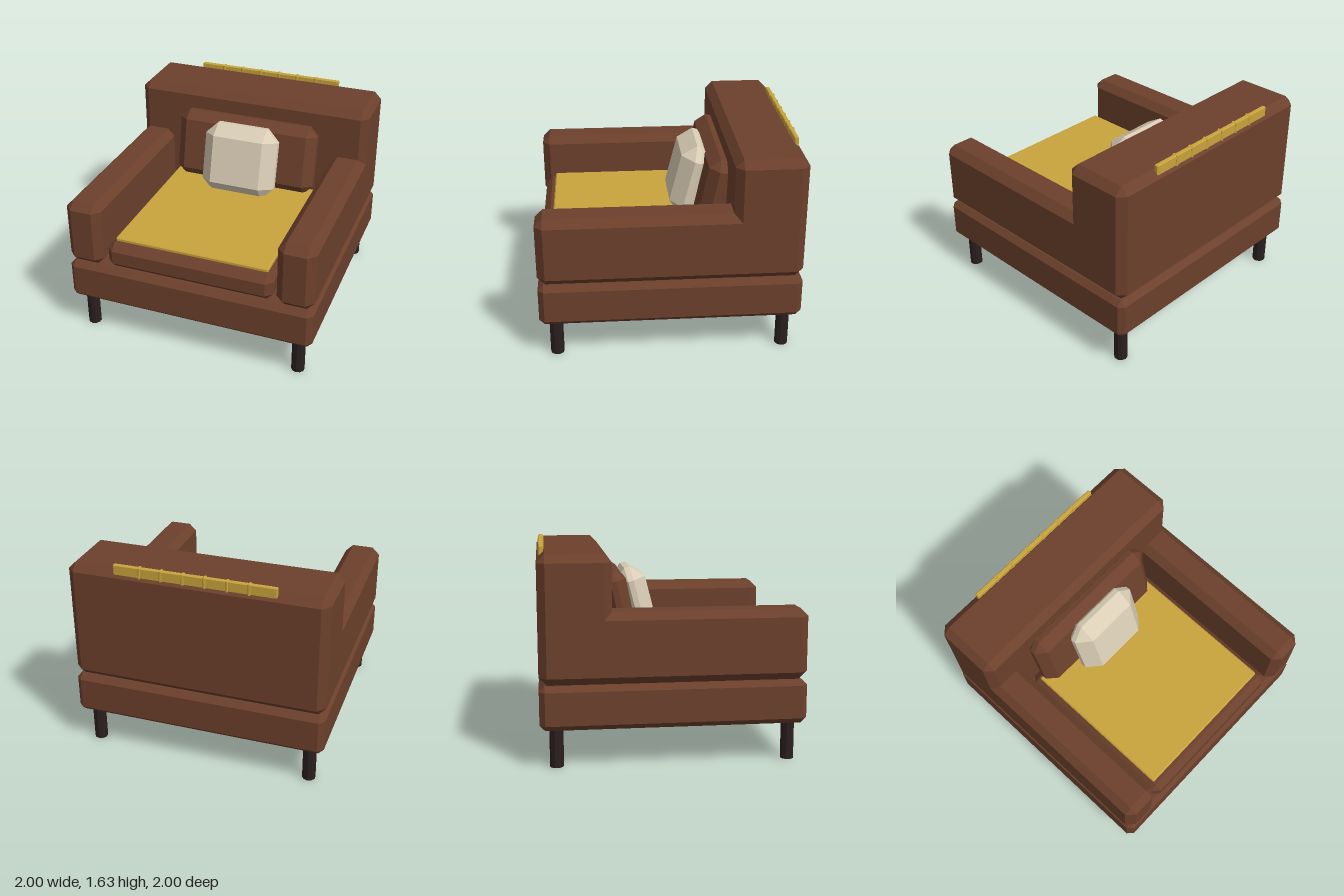
import * as THREE from 'three';
import { ConvexGeometry } from 'three/addons/geometries/ConvexGeometry.js';

const mat = (name, color) => {
  const m = new THREE.MeshStandardMaterial({ color });
  m.name = name;
  return m;
};

// box with every edge cut at 45 degrees by c
function chamferBox(w, h, d, c) {
  const pts = [];
  for (const sx of [-1, 1]) for (const sy of [-1, 1]) for (const sz of [-1, 1]) {
    const x = w / 2, y = h / 2, z = d / 2;
    pts.push(
      new THREE.Vector3(sx * x, sy * (y - c), sz * (z - c)),
      new THREE.Vector3(sx * (x - c), sy * y, sz * (z - c)),
      new THREE.Vector3(sx * (x - c), sy * (y - c), sz * z));
  }
  return new ConvexGeometry(pts);
}

export function createModel() {
  const group = new THREE.Group();
  const brown = mat('brown leather', 0x6c402c);
  const gold = mat('gold cloth', 0xc9a43c);
  const cream = mat('cream cloth', 0xd9cdb5);
  const dark = mat('dark wood', 0x2a1f1f);

  const add = (name, geometry, material, x, y, z, tilt = 0) => {
    const mesh = new THREE.Mesh(geometry, material);
    mesh.name = name;
    mesh.position.set(x, y, z);
    mesh.rotation.x = -tilt;
    group.add(mesh);
    return mesh;
  };
  // chamfered box given by its limits on each axis
  const block = (name, material, [x0, x1], [y0, y1], [z0, z1], c) =>
    add(name, chamferBox(x1 - x0, y1 - y0, z1 - z0, c), material,
      (x0 + x1) / 2, (y0 + y1) / 2, (z0 + z1) / 2);

  // frame
  block('base', brown, [-1, 1], [0.295, 0.63], [-1, 1], 0.042);
  block('backrest', brown, [-1, 1], [0.63, 1.585], [-1, -0.46], 0.06);
  block('leftArm', brown, [0.707, 1], [0.63, 1.167], [-0.9, 1], 0.06);
  block('rightArm', brown, [-1, -0.707], [0.63, 1.167], [-0.9, 1], 0.06);

  // legs
  for (const x of [-0.877, 0.877]) for (const z of [-0.877, 0.877]) {
    const leg = new THREE.CylinderGeometry(0.052, 0.052, 0.3, 10).toNonIndexed();
    leg.computeVertexNormals();
    add('leg', leg, dark, x, 0.15, z);
  }

  // cushions
  block('seatCushion', brown, [-0.675, 0.675], [0.63, 0.84], [-0.44, 0.973], 0.052);
  add('backCushion', chamferBox(1.21, 0.58, 0.2, 0.077), brown, 0, 1.13, -0.378, 0.2);
  add('pillow', chamferBox(0.63, 0.6, 0.25, 0.103), cream, 0, 1.117, -0.214, 0.245);

  // throw on the seat, and its hanging edge over the back
  block('seatThrow', gold, [-0.622, 0.622], [0.835, 0.873], [-0.37, 0.893], 0.01);
  block('backThrow', gold, [-0.622, 0.622], [1.4, 1.622], [-0.98, -0.946], 0.006);
  for (let i = 0; i < 6; i++) {
    const x = (i - 2.5) * 0.167;
    block('throwRib', gold, [x - 0.011, x + 0.011], [1.4, 1.626], [-0.986, -0.94], 0.005);
  }
  return group;
}
